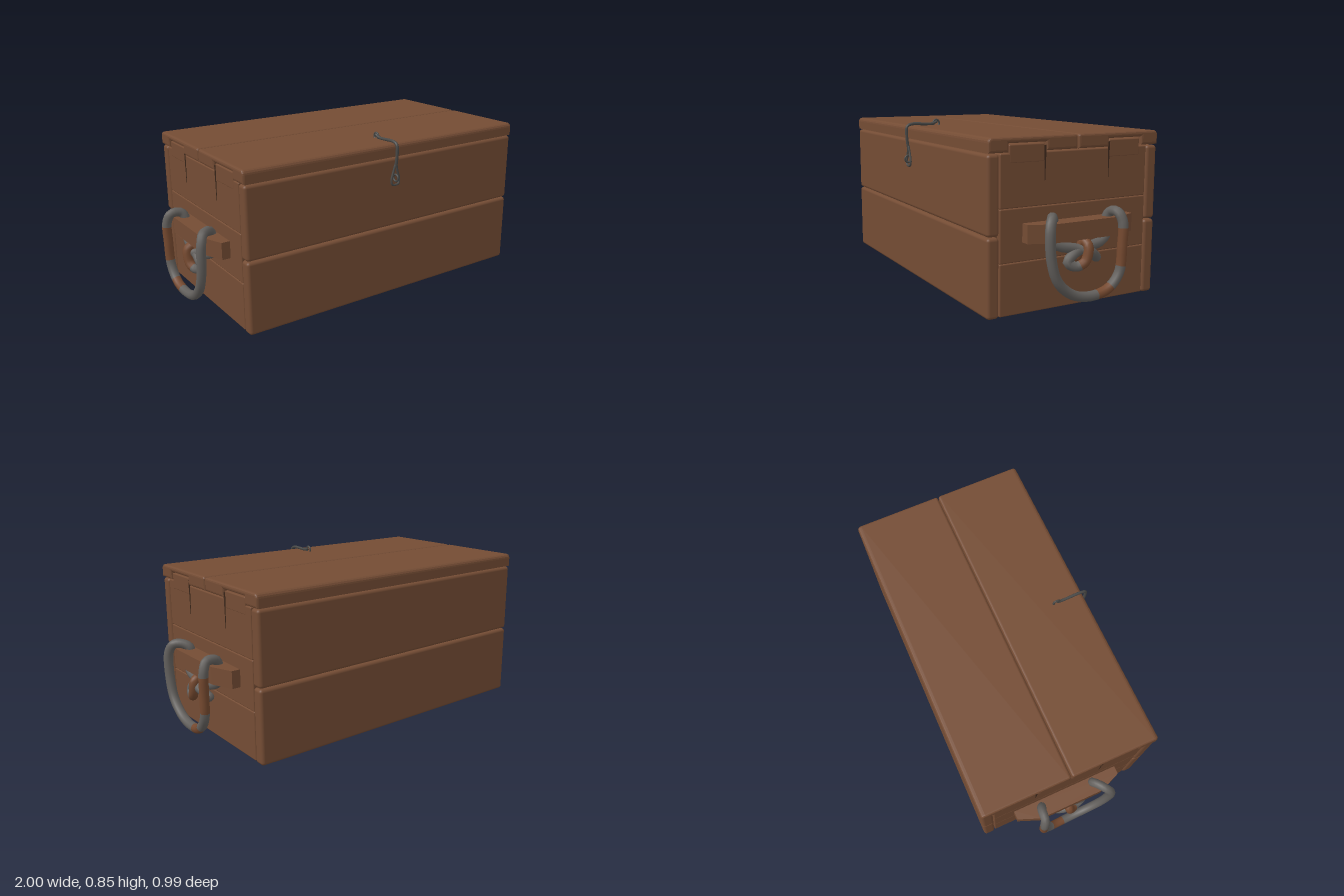
import * as THREE from 'three';
import { RoundedBoxGeometry } from 'three/addons/geometries/RoundedBoxGeometry.js';

const material = (name, color) => new THREE.MeshStandardMaterial({ name, color });

export function createModel() {
  const wood = material('brown wood', 0x744c34);
  const shade = material('dark wood crack', 0x3f2a1d);
  const ropeGrey = material('grey rope', 0x625f5c);
  const ropeBrown = material('stained rope', 0x75492f);
  const iron = material('dark iron', 0x484846);
  const model = new THREE.Group();
  model.name = 'chest';

  const add = (name, geometry, mat, parent = model) => {
    const mesh = new THREE.Mesh(geometry, mat);
    mesh.name = name;
    parent.add(mesh);
    return mesh;
  };
  // Plank given by its minimum and maximum corners
  const plank = (name, a, b, r = 0.016) => {
    const [w, h, d] = a.map((v, i) => b[i] - v);
    const mesh = add(name, new RoundedBoxGeometry(w, h, d, 3, r), wood);
    mesh.position.set(...a.map((v, i) => (v + b[i]) / 2));
  };
  const curve = (pts, closed = false) =>
    new THREE.CatmullRomCurve3(pts.map((p) => new THREE.Vector3(...p)), closed, 'centripetal');

  // Body: floor, inner core, two planks on front and back
  plank('innerCore', [-0.82, 0.018, -0.45], [0.82, 0.74, 0.41], 0.005);
  for (const [y0, y1] of [[0.002, 0.375], [0.379, 0.745]]) {
    plank('frontPlank', [-0.85, y0, 0.394], [0.85, y1, 0.455]);
    plank('backPlank', [-0.85, y0, -0.495], [0.85, y1, -0.432]);
  }

  // Three planks on each end
  for (const s of [-1, 1]) {
    for (const [y0, y1] of [[0.006, 0.25], [0.251, 0.499], [0.5, 0.745]]) {
      plank('endPlank', [s > 0 ? 0.79 : -0.846, y0, -0.429], [s > 0 ? 0.846 : -0.79, y1, 0.391], 0.006);
    }
  }

  // Lid boards with rounded edges, notched underneath for the battens
  const lidBoard = (z0, z1, n0, n1, roundFront) => {
    const b = 0.012, y0 = 0.75 + b, y1 = 0.818 - b, ny = 0.79 + b;
    const l = z0 + b, r = z1 - b, c = 0.012;
    const cl = roundFront ? 0.002 : c, cr = roundFront ? c : 0.002;
    const shape = new THREE.Shape();
    shape.moveTo(l, y0);
    shape.lineTo(n0 - b, y0);
    shape.lineTo(n0 - b, ny);
    shape.lineTo(n1 + b, ny);
    shape.lineTo(n1 + b, y0);
    shape.lineTo(r, y0);
    shape.lineTo(r, y1 - cr);
    shape.quadraticCurveTo(r, y1, r - cr, y1);
    shape.lineTo(l + cl, y1);
    shape.quadraticCurveTo(l, y1, l, y1 - cl);
    const depth = 1.71 - 2 * b;
    const geometry = new THREE.ExtrudeGeometry(shape, {
      depth, bevelThickness: b, bevelSize: b, bevelSegments: 3, curveSegments: 4,
    });
    geometry.translate(0, 0, -depth / 2).rotateY(-Math.PI / 2);
    add('lidBoard', geometry, wood);
  };
  lidBoard(-0.017, 0.455, 0.155, 0.35, true);
  lidBoard(-0.495, -0.021, -0.39, -0.198, false);
  plank('lidBatten', [-0.847, 0.7, 0.16], [0.847, 0.784, 0.345], 0.006);
  plank('lidBatten', [-0.847, 0.7, -0.385], [0.847, 0.784, -0.203], 0.006);

  // Tapered cracks beside the battens
  for (const s of [-1, 1]) {
    for (const z of [0.158, -0.2]) {
      const shape = new THREE.Shape();
      shape.moveTo(-z - 0.006, 0.775);
      shape.lineTo(-z, 0.6);
      shape.lineTo(-z + 0.006, 0.775);
      const geometry = new THREE.ExtrudeGeometry(shape, { depth: 0.003, bevelEnabled: false });
      geometry.rotateY(Math.PI / 2).translate(s * 0.847 - 0.0015, 0, 0);
      add('woodCrack', geometry, shade);
    }
  }

  // Rope path: tail, through the bar, hanging loop, back through the bar, knot
  const ropePath = [
    [0.9, 0.24, -0.1], [0.925, 0.28, -0.04], [0.9, 0.295, 0.02], [0.89, 0.31, 0.1],
    [0.88, 0.34, 0.15], [0.875, 0.43, 0.13], [0.9, 0.452, 0.15], [0.94, 0.452, 0.18],
    [0.96, 0.41, 0.2], [0.965, 0.27, 0.195], [0.965, 0.17, 0.16], [0.963, 0.1, 0.08],
    [0.963, 0.077, -0.02], [0.968, 0.1, -0.12], [0.972, 0.17, -0.18], [0.974, 0.3, -0.193],
    [0.972, 0.41, -0.195], [0.95, 0.453, -0.185], [0.9, 0.452, -0.18], [0.88, 0.42, -0.17],
    [0.88, 0.34, -0.17], [0.89, 0.31, -0.13], [0.9, 0.295, -0.05], [0.91, 0.275, 0.03],
    [0.91, 0.235, 0.07], [0.925, 0.215, 0.03], [0.94, 0.24, -0.01], [0.937, 0.31, -0.025],
    [0.91, 0.325, -0.02], [0.885, 0.25, 0],
  ];
  const segments = 160, sides = 10, ropeRadius = 0.024;
  for (const s of [-1, 1]) {
    const handle = new THREE.Group();
    handle.name = s > 0 ? 'leftHandle' : 'rightHandle';
    model.add(handle);

    // Wooden bar with slanted ends
    const bar = new THREE.Shape(
      [[0.84, 0.315], [0.89, 0.315], [0.935, 0.2], [0.935, -0.16], [0.89, -0.275], [0.84, -0.275]]
        .map(([x, y]) => new THREE.Vector2(s * x, y)));
    const barGeometry = new THREE.ExtrudeGeometry(bar, { depth: 0.087, bevelEnabled: false });
    barGeometry.rotateX(-Math.PI / 2).translate(0, 0.341, 0);
    add('handleBar', barGeometry, wood, handle);

    // Knotted rope with stained stretches
    const points = ropePath.map(([x, y, z]) => [s * x, y, z]);
    const rope = new THREE.TubeGeometry(curve(points), segments, ropeRadius, sides);
    const stops = [0, 0.46, 0.5, 0.55, 0.63, 0.9, 1].map((t) => Math.round(t * segments) * sides * 6);
    for (let i = 0; i < stops.length - 1; i++) rope.addGroup(stops[i], stops[i + 1] - stops[i], i % 2);
    add('rope', rope, [ropeGrey, ropeBrown], handle);
    for (const [p, mat] of [[points[0], ropeGrey], [points.at(-1), ropeBrown]]) {
      add('ropeEnd', new THREE.SphereGeometry(ropeRadius, 10, 6), mat, handle).position.set(...p);
    }
  }

  // Latch: wire hook, teardrop catch and two staples
  const latch = new THREE.Group();
  latch.name = 'latch';
  model.add(latch);
  const wire = [[0, 0.838, 0.3], [0, 0.826, 0.33], [0, 0.827, 0.45], [0, 0.815, 0.473],
    [0, 0.77, 0.477], [0, 0.7, 0.469]];
  add('hookWire', new THREE.TubeGeometry(curve(wire), 40, 0.008, 8), iron, latch);
  const drop = [[0, 0.715, 0.469], [0.012, 0.68, 0.467], [0.025, 0.63, 0.467], [0.018, 0.609, 0.468],
    [-0.018, 0.609, 0.468], [-0.025, 0.63, 0.467], [-0.012, 0.68, 0.467]];
  add('hookLoop', new THREE.TubeGeometry(curve(drop, true), 48, 0.006, 8, true), iron, latch);
  for (const [y, z] of [[0.829, 0.305], [0.643, 0.471]]) {
    const staple = add('staple', new THREE.TorusGeometry(0.018, 0.005, 8, 16), iron, latch);
    staple.rotation.y = Math.PI / 2;
    staple.position.set(0, y, z);
  }
  return model;
}
